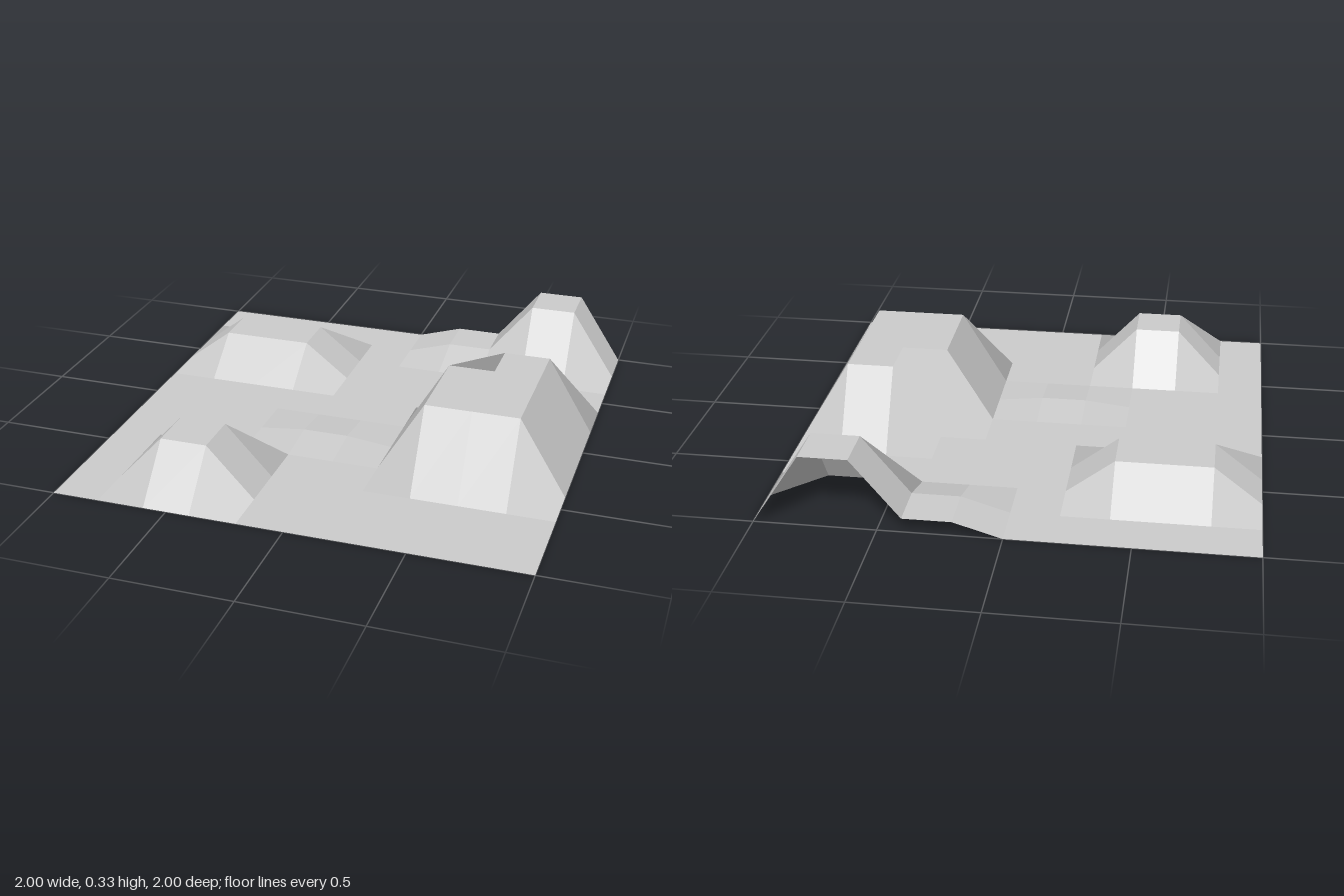
import * as THREE from 'three';

const CELLS = 10, STEP = 0.2;

// Raised plateaus as ranges of grid points: x from, x to, z from, z to, height
const PLATEAUS = [
  [-0.6, -0.4, 0.6, 0.8, 0.215],  // front right hill
  [-0.8, -0.4, -0.6, -0.4, 0.155], // back right hill
  [0.2, 0.4, -1, -0.8, 0.06],     // low ridge beside the back left hill
  [0.6, 0.8, -1, -0.8, 0.305],    // back left hill, cut by the edge
  [0.4, 0.8, 0, 0.4, 0.33],       // large hill
  [0.6, 0.8, -0.2, 0, 0.33],      // large hill, narrower back part
  [-0.2, 0, 0.2, 0.2, 0.022],     // slight swell in the middle
];

function heightAt(x, z) {
  const e = 0.01;
  let h = 0;
  for (const [x0, x1, z0, z1, y] of PLATEAUS) {
    if (x > x0 - e && x < x1 + e && z > z0 - e && z < z1 + e) h = Math.max(h, y);
  }
  return h;
}

// One flat normal for each square cell (two triangles)
function shadePerCell(geometry) {
  const p = geometry.attributes.position, n = geometry.attributes.normal;
  const v = (i) => new THREE.Vector3().fromBufferAttribute(p, i);
  for (let i = 0; i < p.count; i += 6) {
    const sum = new THREE.Vector3();
    for (const k of [i, i + 3]) {
      const a = v(k);
      sum.add(v(k + 1).sub(a).cross(v(k + 2).sub(a)));
    }
    sum.normalize();
    for (let k = i; k < i + 6; k++) n.setXYZ(k, sum.x, sum.y, sum.z);
  }
}

export function createModel() {
  const size = CELLS * STEP;
  const plane = new THREE.PlaneGeometry(size, size, CELLS, CELLS).rotateX(-Math.PI / 2);

  // Lift the grid points into hills
  const pos = plane.attributes.position;
  for (let i = 0; i < pos.count; i++) pos.setY(i, heightAt(pos.getX(i), pos.getZ(i)));

  const geometry = plane.toNonIndexed();
  shadePerCell(geometry);

  const terrain = new THREE.Mesh(
    geometry,
    new THREE.MeshStandardMaterial({ color: 0xcccccc, side: THREE.DoubleSide })
  );
  terrain.name = 'hillyTerrain';

  const group = new THREE.Group();
  group.name = 'terrainTile';
  group.add(terrain);
  return group;
}
